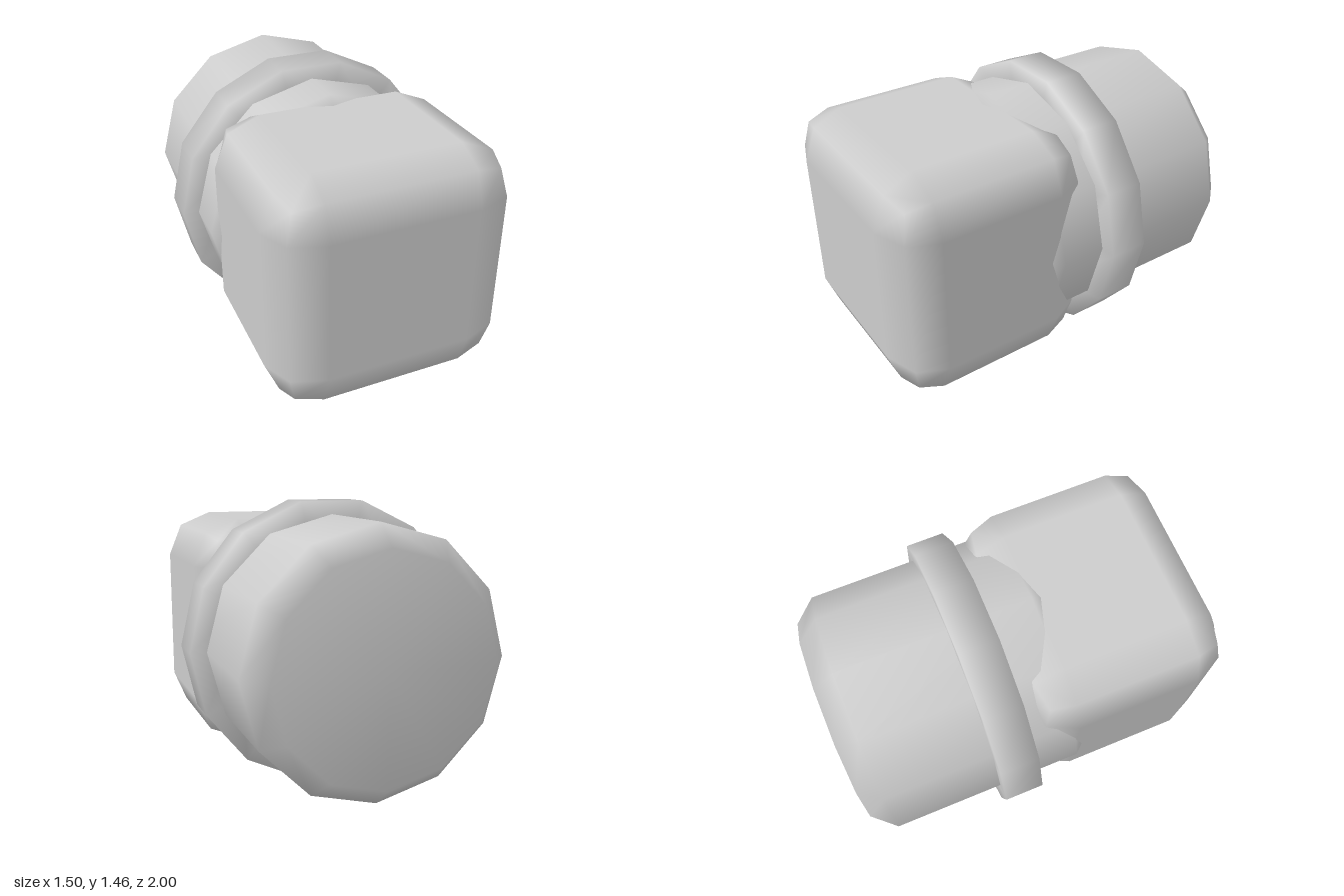
import * as THREE from 'three';
import { RoundedBoxGeometry } from 'three/addons/geometries/RoundedBoxGeometry.js';

const CENTRE_Y = 0.733;

// Smooth turned solid along z; profile points are [radius, z], back to front.
function turned(profile, sides, phase = 0) {
  const points = profile.map(([r, z]) => new THREE.Vector2(r, z));
  return new THREE.LatheGeometry(points, sides, phase).rotateX(Math.PI / 2);
}

export function createModel() {
  const model = new THREE.Group();
  model.name = 'knob';
  const grey = new THREE.MeshStandardMaterial({ color: 0xcccccc });
  grey.name = 'grey';

  const add = (name, geometry, z = 0) => {
    const mesh = new THREE.Mesh(geometry, grey);
    mesh.name = name;
    mesh.position.set(0, CENTRE_Y, z);
    model.add(mesh);
  };

  // Rounded block at the front, slightly squashed in depth
  add('block', new RoundedBoxGeometry(1.245, 1.245, 1.245, 1, 0.248).scale(1, 1, 0.867), 0.46);

  // Twelve-sided barrel, chamfered at both ends
  add('barrel', turned([
    [0, -1], [0.56, -1], [0.665, -0.88], [0.665, 0.13], [0.56, 0.25], [0, 0.25],
  ], 12));

  // Fourteen-sided square-section collar around the barrel
  add('collar', turned([
    [0.54, -0.208], [0.54, -0.311], [0.75, -0.311], [0.75, -0.105], [0.54, -0.105], [0.54, -0.208],
  ], 14, Math.PI / 2));

  return model;
}
